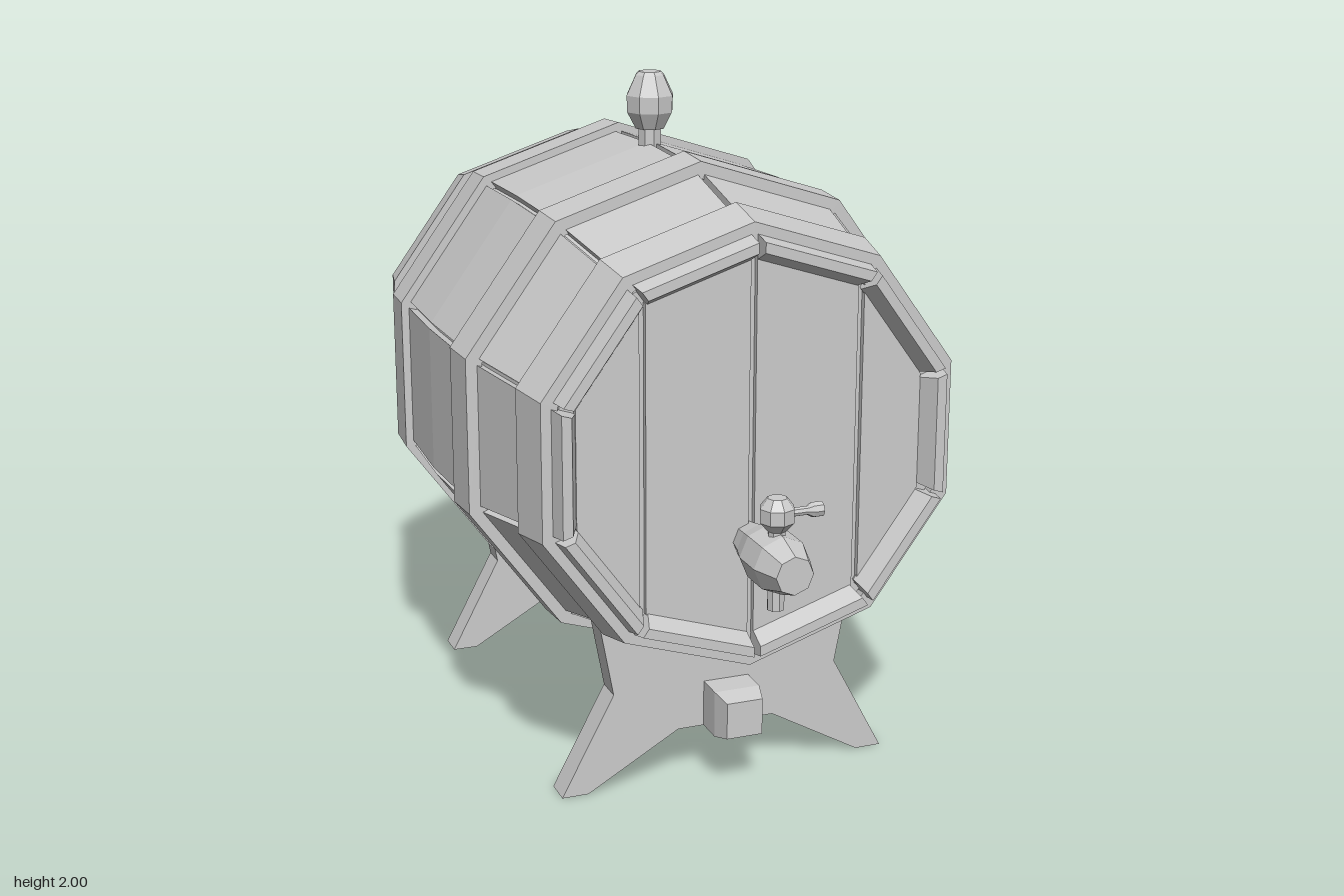
import * as THREE from 'three';

const material = new THREE.MeshStandardMaterial({ color: 0xcccccc, flatShading: true });
const CY = 1.055, CZ = -0.12; // centre of the cask
const STEP = Math.PI / 5; // ten staves

function add(parent, name, geometry, x = 0, y = 0, z = 0) {
  const mesh = new THREE.Mesh(geometry, material);
  mesh.name = name;
  mesh.position.set(x, y, z);
  parent.add(mesh);
  return mesh;
}

// Turned form from [radius, height] pairs, bottom to top
function turned(points, sides) {
  return new THREE.LatheGeometry(points.map(([r, y]) => new THREE.Vector2(r, y)), sides);
}

function plate(points, depth) {
  const shape = new THREE.Shape(points.map(([x, y]) => new THREE.Vector2(x, y)));
  return new THREE.ExtrudeGeometry(shape, { depth, bevelEnabled: false });
}

// Half of the cask profile: [offset from middle, outer radius, inner radius]
const half = [
  [0, 0.735, 0.67], [0.28, 0.725, 0.66], [0.41, 0.708, 0.645],
  [0.67, 0.645, 0.585], [0.8, 0.613, 0.54], [0.86, 0.6, 0.57],
];
const profile = [...half.slice(1).reverse().map(([z, a, b]) => [-z, a, b]), ...half];

// One stave: four-cornered cross-sections swept along the profile
function staveGeometry(angle, gap) {
  const pos = [], idx = [];
  const c = Math.cos(angle), s = Math.sin(angle);
  for (const [z, ro, ri] of profile) {
    for (const [r, side] of [[ro, -1], [ro, 1], [ri, 1], [ri, -1]]) {
      const n = r * Math.cos(STEP / 2), t = side * (r * Math.sin(STEP / 2) - gap);
      pos.push(c * n - s * t, s * n + c * t, z);
    }
  }
  const last = (profile.length - 1) * 4;
  for (let k = 0; k < last; k += 4) {
    for (let j = 0; j < 4; j++) {
      const a = k + j, b = k + (j + 1) % 4;
      idx.push(a, b, b + 4, a, b + 4, a + 4);
    }
  }
  idx.push(0, 2, 1, 0, 3, 2, last, last + 1, last + 2, last, last + 2, last + 3);
  const g = new THREE.BufferGeometry();
  g.setAttribute('position', new THREE.Float32BufferAttribute(pos, 3));
  g.setIndex(idx);
  g.computeVertexNormals();
  return g;
}

function buildCask() {
  const cask = new THREE.Group();
  cask.name = 'cask';
  cask.position.set(0, CY, CZ);

  for (let i = 0; i < 10; i++) {
    add(cask, 'stave', staveGeometry(Math.PI / 2 + (i + 0.5) * STEP, 0.01));
  }

  // Dark core seen in the joints, closing both ends behind the head planks
  const coreProfile = profile.slice(1, -1).map(([z, r]) => [r - 0.03, z * 0.985]);
  const core = turned([[0, -0.788], ...coreProfile, [0, 0.788]], 10);
  add(cask, 'core', core.rotateX(Math.PI / 2));

  // Hoops: [inner offset, outer offset, radius at each]
  for (const [z0, z1, r0, r1] of [[0.28, 0.415, 0.75, 0.742], [0.67, 0.805, 0.672, 0.643]]) {
    for (const side of [1, -1]) {
      const ring = [[r0 - 0.05, z0], [r0, z0], [r1, z1], [r1 - 0.05, z1], [r0 - 0.05, z0]];
      const g = turned(ring, 10).rotateX(Math.PI / 2);
      if (side < 0) g.rotateY(Math.PI);
      add(cask, 'hoop', g);
    }
  }

  // Head planks, split at the corners of the ten-sided end
  const R = 0.55, gap = 0.009;
  const corners = [0, 1, 2].map(i => [R * Math.sin(i * STEP), R * Math.cos(i * STEP)]);
  for (const side of [1, -1]) {
    for (let i = 0; i < 2; i++) {
      const [x0, y0] = corners[i], [x1, y1] = corners[i + 1];
      const pts = [[x0 + gap, -y0], [x1 - gap, -y1], [x1 - gap, y1], [x0 + gap, y0]];
      for (const mirror of [1, -1]) {
        const outline = pts.map(([x, y]) => [x * mirror, y]);
        add(cask, 'headPlank', plate(outline, 0.025), 0, 0, side > 0 ? 0.78 : -0.805);
      }
    }
  }
  return cask;
}

function buildStand() {
  const stand = new THREE.Group();
  stand.name = 'stand';
  const right = [[0.15, 0.16], [0.43, 0], [0.51, 0], [0.35, 0.3], [0.39, 0.515]];
  const left = right.map(([x, y]) => [-x, y]).reverse();
  const outline = [...right, [0, 0.39], ...left];
  for (const z of [0.425, -0.745]) add(stand, 'leg', plate(outline, 0.085), 0, 0, z);

  // Beam with tapered ends
  const d = Math.SQRT2;
  const beam = turned([[0, -0.77], [0.055 * d, -0.77], [0.07 * d, -0.71],
    [0.07 * d, 0.71], [0.055 * d, 0.77], [0, 0.77]], 4);
  beam.rotateY(Math.PI / 4).rotateX(Math.PI / 2);
  add(stand, 'beam', beam, 0, 0.23, -0.115);
  return stand;
}

function buildTap() {
  const tap = new THREE.Group();
  tap.name = 'tap';
  tap.position.set(0, 0.79, 0.86);
  const body = turned([[0, -0.2], [0.05, -0.2], [0.066, -0.12], [0.084, -0.06],
    [0.084, 0.04], [0.055, 0.125], [0, 0.125]], 8);
  add(tap, 'tapBody', body.rotateX(Math.PI / 2));
  add(tap, 'spout', new THREE.CylinderGeometry(0.025, 0.025, 0.1, 8), 0, -0.09, 0);
  add(tap, 'valveStem', new THREE.CylinderGeometry(0.025, 0.025, 0.06, 8), 0, 0.08, 0);
  add(tap, 'valveKnob', turned([[0, 0.088], [0.026, 0.088], [0.05, 0.115],
    [0.05, 0.155], [0.028, 0.183], [0, 0.183]], 8));
  const handle = turned([[0, 0], [0.013, 0], [0.013, 0.055], [0.022, 0.07],
    [0.022, 0.098], [0, 0.105]], 8);
  add(tap, 'handle', handle.rotateZ(-Math.PI / 2), 0.035, 0.135, 0);
  return tap;
}

function buildBung() {
  const bung = new THREE.Group();
  bung.name = 'bung';
  bung.position.z = CZ;
  add(bung, 'bungStem', new THREE.CylinderGeometry(0.036, 0.036, 0.14, 8), 0, 1.77, 0);
  add(bung, 'bungKnob', turned([[0, 1.83], [0.045, 1.83], [0.072, 1.88],
    [0.074, 1.93], [0.045, 1.99], [0.035, 2], [0, 2]], 8));
  return bung;
}

export function createModel() {
  const model = new THREE.Group();
  model.name = 'caskOnStand';
  model.add(buildCask(), buildStand(), buildTap(), buildBung());
  return model;
}
